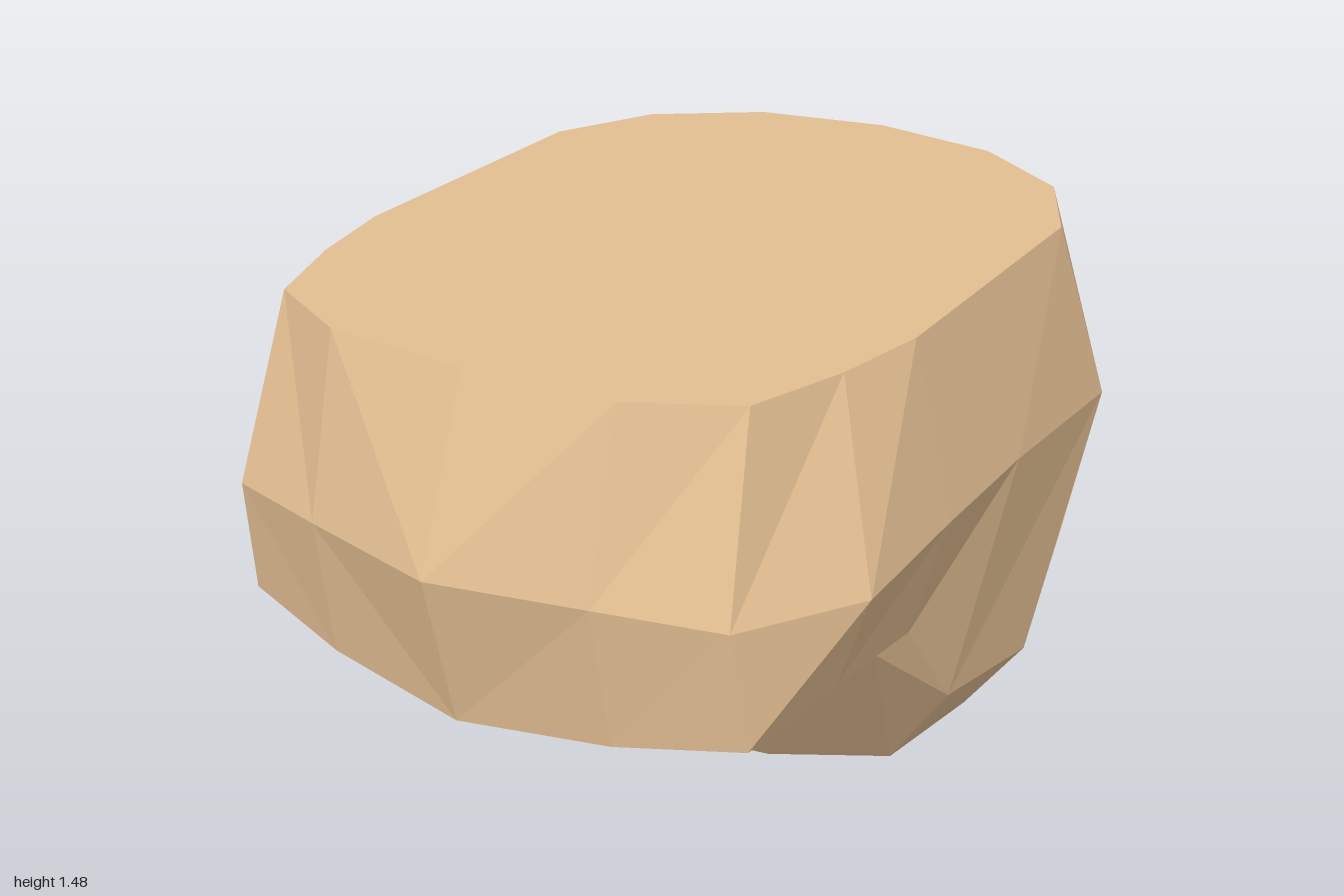
import * as THREE from 'three';

const skin = new THREE.MeshStandardMaterial({ color: 0xe3bf92, flatShading: true, side: THREE.DoubleSide });

// Collects facets between pairs of point rows (upper row, lower row), mirrored across x = 0.
// Rows run from the face centre round the +x side to the back centre.
function part(name, strips) {
  const pos = [];
  const tri = (a, b, c) => {
    for (const p of [a, b, c]) pos.push(...p);
    for (const p of [a, c, b]) pos.push(-p[0], p[1], p[2]);
  };
  const same = (a, b) => a.every((v, i) => v === b[i]);
  for (const [up, low] of strips) {
    for (let i = 0; i < up.length - 1; i++) {
      if (!same(up[i], up[i + 1])) tri(up[i], up[i + 1], low[i + 1]);
      if (!same(low[i], low[i + 1])) tri(up[i], low[i + 1], low[i]);
    }
  }
  const geo = new THREE.BufferGeometry();
  geo.setAttribute('position', new THREE.Float32BufferAttribute(pos, 3));
  geo.computeVertexNormals();
  const mesh = new THREE.Mesh(geo, skin);
  mesh.name = name;
  return mesh;
}

export function createModel() {
  // Flat cut outline at the top, as x, z pairs
  const top = [[0, -0.75], [0.29, -0.7], [0.51, -0.55], [0.62, -0.33], [0.62, 0], [0.62, 0.33],
    [0.58, 0.53], [0.51, 0.73], [0.31, 0.83], [0, 0.85]].map(([x, z]) => [x, 1.471 - z * 0.008, z]);
  // Brow line running into the widest part of the skull
  const wide = [[0, 1.2, -0.81], [0.31, 1.21, -0.8], [0.54, 1.16, -0.63], [0.69, 1.07, -0.47],
    [0.7, 1.11, 0], [0.7, 1.11, 0.32], [0.7, 1.1, 0.63], [0.55, 1.1, 0.86], [0.31, 1.11, 0.93], [0, 1.11, 1]];
  // Jaw hinge and lower rim of the skull
  const rim = [[0.63, 0.5, -0.29], [0.62, 0.58, 0.09], [0.62, 0.84, 0.3], [0.62, 0.88, 0.6],
    [0.57, 0.85, 0.83], [0.32, 0.81, 0.89], [0, 0.78, 0.93]];
  const hinge = rim[0];

  // Rows of the face
  const temple = wide[3];
  const eyes = [[0, 1.05, -0.81], [0.31, 1.06, -0.76], [0.5, 1.0, -0.6], temple];
  const cheeks = [[0, 0.76, -0.8], [0.31, 0.77, -0.76], [0.46, 0.77, -0.63], [0.66, 0.77, -0.375]];
  const corner = [0.4, 0.55, -0.59];
  const upperLip = [[0, 0.47, -0.82], [0.27, 0.5, -0.73], corner, hinge];
  const mouth = [[0, 0.46, -0.69], [0.2, 0.49, -0.66], corner];
  const lowerLip = [[0, 0.38, -0.8], [0.25, 0.43, -0.72], corner, hinge];

  // Rows of the underside
  const chin = [[0, 0, -0.57], [0.23, 0.045, -0.55], [0.41, 0.17, -0.49]];
  const neck = [[0.48, 0.36, 0.06], [0.17, 0.25, 0.05], [0, 0.23, 0.05]];
  const nape = [[0.59, 0.82, 0.38], [0.32, 0.77, 0.4], [0, 0.73, 0.4]];

  const head = new THREE.Group();
  head.name = 'head';
  head.add(
    part('skull', [
      [top.map(() => [0, 1.471, 0]), top],
      [top, wide],
      [wide.slice(3), rim],
      [rim.slice(2), [nape[0], nape[0], nape[0], nape[1], nape[2]]],
    ]),
    part('face', [
      [wide.slice(0, 4), eyes],
      [eyes, cheeks],
      [cheeks, upperLip],
      [upperLip.slice(0, 3), mouth],
    ]),
    part('jaw', [
      [mouth, lowerLip.slice(0, 3)],
      [lowerLip, [...chin, chin[2]]],
      [rim.slice(0, 3), [chin[2], neck[0], nape[0]]],
      [nape, neck],
      [neck, [chin[2], chin[1], chin[0]]],
    ]),
  );

  // Nose: narrow ridge, sloping sides and a flat underside
  const bridge = [[0, 1.08, -0.82], [0.035, 1.06, -0.81], [0.05, 1.05, -0.79]];
  const tip = [[0, 0.65, -1], [0.05, 0.65, -0.95], [0.1, 0.62, -0.79]];
  const base = [0, 0.6, -0.79];
  head.add(part('nose', [[bridge, tip], [tip, [base, base, base]]]));
  return head;
}
